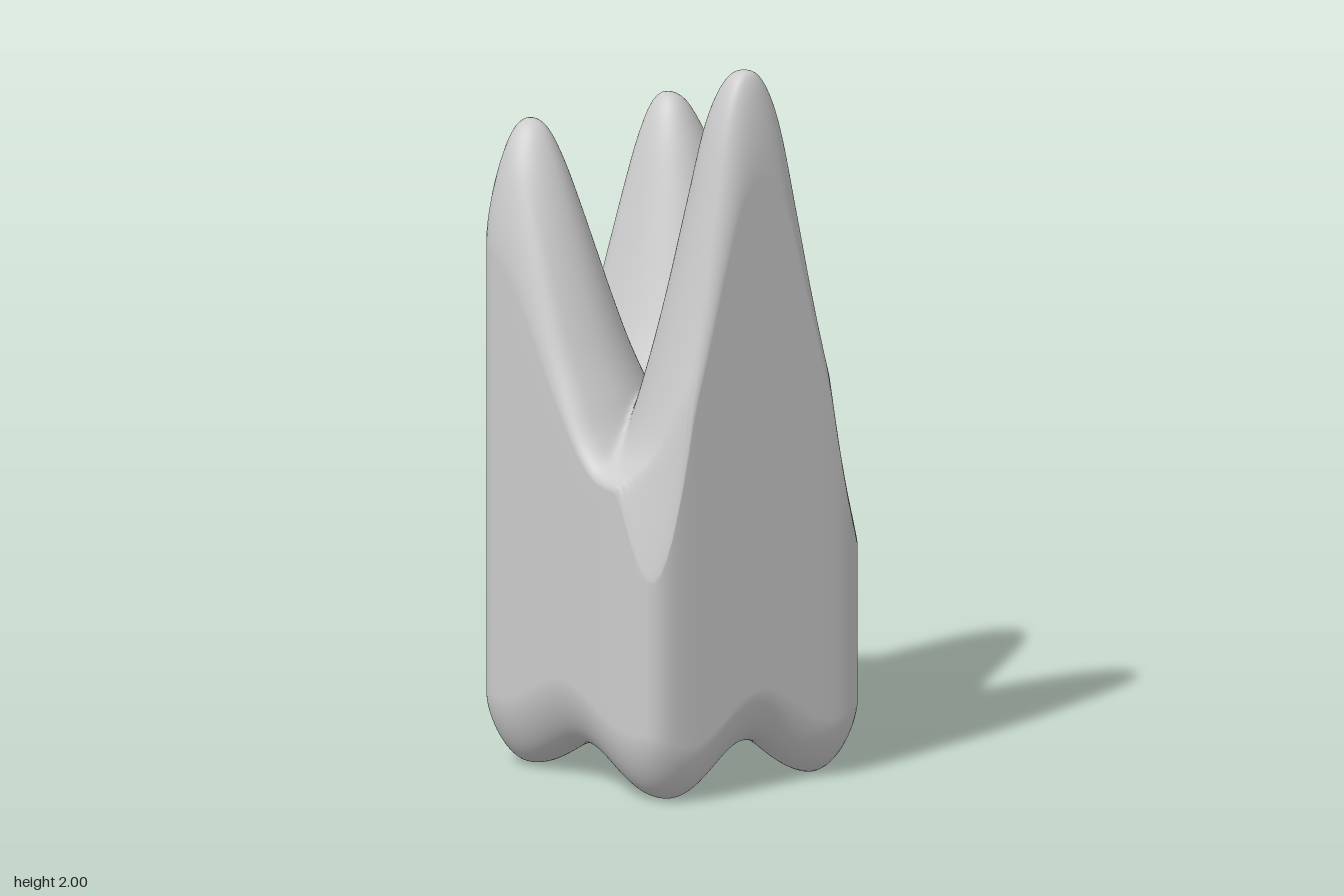
import * as THREE from 'three';

const HALF = 0.387, SEGS = 192, RINGS = 56, WALL = 14;

// Root profiles: height at distance 0, 0.05, 0.10 ... from the root tip
const FRONT = [2, 1.97, 1.85, 1.62, 1.38, 1.17, 1.0, 0.92, 0.89, 0.87, 0.86];
const BACK = [1.79, 1.765, 1.68, 1.56, 1.43, 1.3, 1.18, 1.08, 0.99, 0.93, 0.9, 0.88, 0.86];

// Smooth (Catmull-Rom) lookup in a profile
function profile(table, d) {
  const t = d / 0.05, i = Math.floor(t), f = t - i;
  const at = (k) => table[Math.min(Math.abs(k), table.length - 1)];
  const a = at(i - 1), b = at(i), c = at(i + 1), e = at(i + 2);
  return b + 0.5 * f * (c - a + f * (2 * a - 5 * b + 4 * c - e + f * (3 * (b - c) + e - a)));
}

function softMax(a, b, k) {
  const h = Math.max(k - Math.abs(a - b), 0) / k;
  return Math.max(a, b) + h * h * k * 0.25;
}

// Quarter-round drop near the outer wall
function edgeRound(gap, radius) {
  const u = Math.max(0, 1 - gap / radius);
  return 1 - Math.sqrt(Math.max(0, 1 - u * u));
}

// Upper surface: one tall front root, two shorter back roots
function topHeight(x, z, gap) {
  const dz = z - 0.31;
  const front = profile(FRONT, Math.hypot(x, dz < 0 ? dz * 0.88 : dz));
  const back = [-1, 1].map((side) => {
    const dx = side * x - 0.24;
    return profile(BACK, Math.hypot(dx < 0 ? dx * 1.25 : dx, z + 0.31));
  });
  let h = softMax(front, Math.max(back[0], back[1]), 0.04);
  h -= 2.6 * Math.max(0, Math.abs(x) + z - 0.62);   // sloped front corners
  return h - (0.03 + 0.17 * Math.max(0, h - 0.85)) * edgeRound(gap, 0.06);
}

// Lower surface: four rounded cusps with a cross-shaped hollow
function bottomHeight(x, z, gap) {
  const h = 0.0625 * (1 + Math.cos(Math.PI * x / 0.25)) + 0.05 * (1 + Math.cos(Math.PI * z / 0.28));
  return h + 0.13 * edgeRound(gap, 0.09);
}

function toothGeometry() {
  const positions = [], index = [];
  let rows = 0;

  // Add one closed loop, scaled s inside the rounded-square outline
  function addRow(s, heightAt) {
    for (let i = 0; i < SEGS; i++) {
      const a = (i / SEGS) * Math.PI * 2, c = Math.cos(a), n = Math.sin(a);
      const r = s * HALF / Math.pow(Math.abs(c) ** 9 + Math.abs(n) ** 9, 1 / 9);
      const x = r * c, z = r * n;
      positions.push(x - 0.018 * z, heightAt(x, z, (1 - s) * HALF), z + 0.018 * x);
    }
    rows++;
  }
  const spread = (k) => Math.sin((Math.max(k, 0.02) / RINGS) * Math.PI / 2);

  for (let k = 0; k <= RINGS; k++) addRow(spread(k), bottomHeight);
  for (let k = 1; k < WALL; k++) {
    const t = k / WALL;
    addRow(1, (x, z) => THREE.MathUtils.lerp(bottomHeight(x, z, 0), topHeight(x, z, 0), t));
  }
  for (let k = RINGS; k >= 0; k--) addRow(spread(k), topHeight);

  for (let j = 0; j < rows - 1; j++) {
    for (let i = 0; i < SEGS; i++) {
      const n = (i + 1) % SEGS;
      const a = j * SEGS + i, b = j * SEGS + n, c = a + SEGS, d = b + SEGS;
      index.push(a, c, b, b, c, d);
    }
  }
  const geometry = new THREE.BufferGeometry();
  geometry.setAttribute('position', new THREE.Float32BufferAttribute(positions, 3));
  geometry.setIndex(index);
  geometry.computeVertexNormals();
  return geometry;
}

export function createModel() {
  const group = new THREE.Group();
  group.name = 'molarTooth';
  const tooth = new THREE.Mesh(toothGeometry(), new THREE.MeshStandardMaterial({ color: 0xcccccc }));
  tooth.name = 'crownAndRoots';
  group.add(tooth);
  return group;
}
